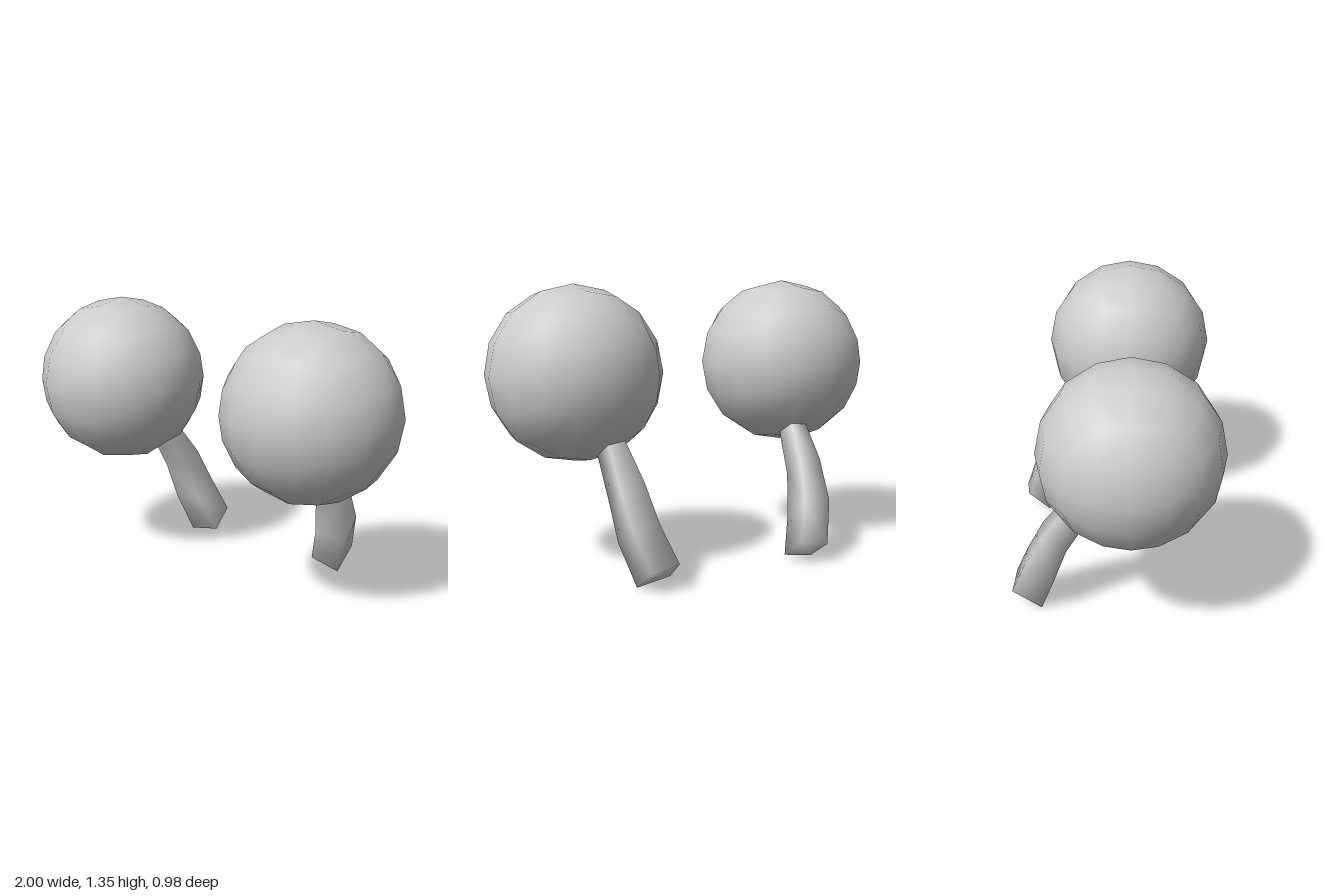
import * as THREE from 'three';

const material = new THREE.MeshStandardMaterial({ color: 0xcccccc });

// Ball made from a 4x4x4 cube, its grid spread at equal angles and pushed onto a sphere
function ballGeometry(radius) {
  const geo = new THREE.BoxGeometry(2, 2, 2, 4, 4, 4);
  const pos = geo.attributes.position, normal = geo.attributes.normal;
  const v = new THREE.Vector3();
  const spread = (t) => Math.tan(t * Math.PI / 4);
  for (let i = 0; i < pos.count; i++) {
    v.fromBufferAttribute(pos, i);
    v.set(spread(v.x), spread(v.y), spread(v.z)).normalize();
    normal.setXYZ(i, v.x, v.y, v.z);
    pos.setXYZ(i, v.x * radius, v.y * radius, v.z * radius);
  }
  return geo;
}

// Four-sided stalk sections from inside the ball down to the tip:
// outer front, inner front, inner back, outer back
const sections = [
  [[0.57, 0.66, -0.07], [0.48, 0.67, -0.07], [0.49, 0.72, -0.14], [0.56, 0.72, -0.14]],
  [[0.56, 0.55, -0.125], [0.45, 0.56, -0.13], [0.46, 0.63, -0.215], [0.55, 0.63, -0.21]],
  [[0.56, 0.39, -0.22], [0.425, 0.4, -0.225], [0.43, 0.47, -0.33], [0.555, 0.475, -0.32]],
  [[0.545, 0.2, -0.285], [0.385, 0.21, -0.29], [0.4, 0.3, -0.41], [0.54, 0.29, -0.42]],
  [[0.485, 0.0, -0.35], [0.32, 0.03, -0.36], [0.335, 0.12, -0.475], [0.48, 0.095, -0.49]],
];

function stalkGeometry(side) {
  const points = sections.flat().map(([x, y, z]) => [x * side, y, z]);
  const index = [];
  const quad = (a, b, c, d) => index.push(...(side > 0 ? [a, b, c, a, c, d] : [a, c, b, a, d, c]));
  for (let i = 0; i < sections.length - 1; i++) {
    for (let j = 0; j < 4; j++) {
      const k = (j + 1) % 4, up = i * 4, low = up + 4;
      quad(up + j, up + k, low + k, low + j);
    }
  }
  // closed tip
  const tip = (sections.length - 1) * 4;
  quad(tip, tip + 1, tip + 2, tip + 3);

  const geo = new THREE.BufferGeometry();
  geo.setAttribute('position', new THREE.Float32BufferAttribute(points.flat(), 3));
  geo.setIndex(index);
  geo.computeVertexNormals();
  return geo;
}

export function createModel() {
  const model = new THREE.Group();
  model.name = 'stalkedBalls';

  for (const [name, side] of [['left', 1], ['right', -1]]) {
    const ball = new THREE.Mesh(ballGeometry(0.415), material);
    ball.name = name + 'Ball';
    ball.position.set(0.585 * side, 0.932, 0.073);

    const stalk = new THREE.Mesh(stalkGeometry(side), material);
    stalk.name = name + 'Stalk';

    model.add(ball, stalk);
  }
  return model;
}
